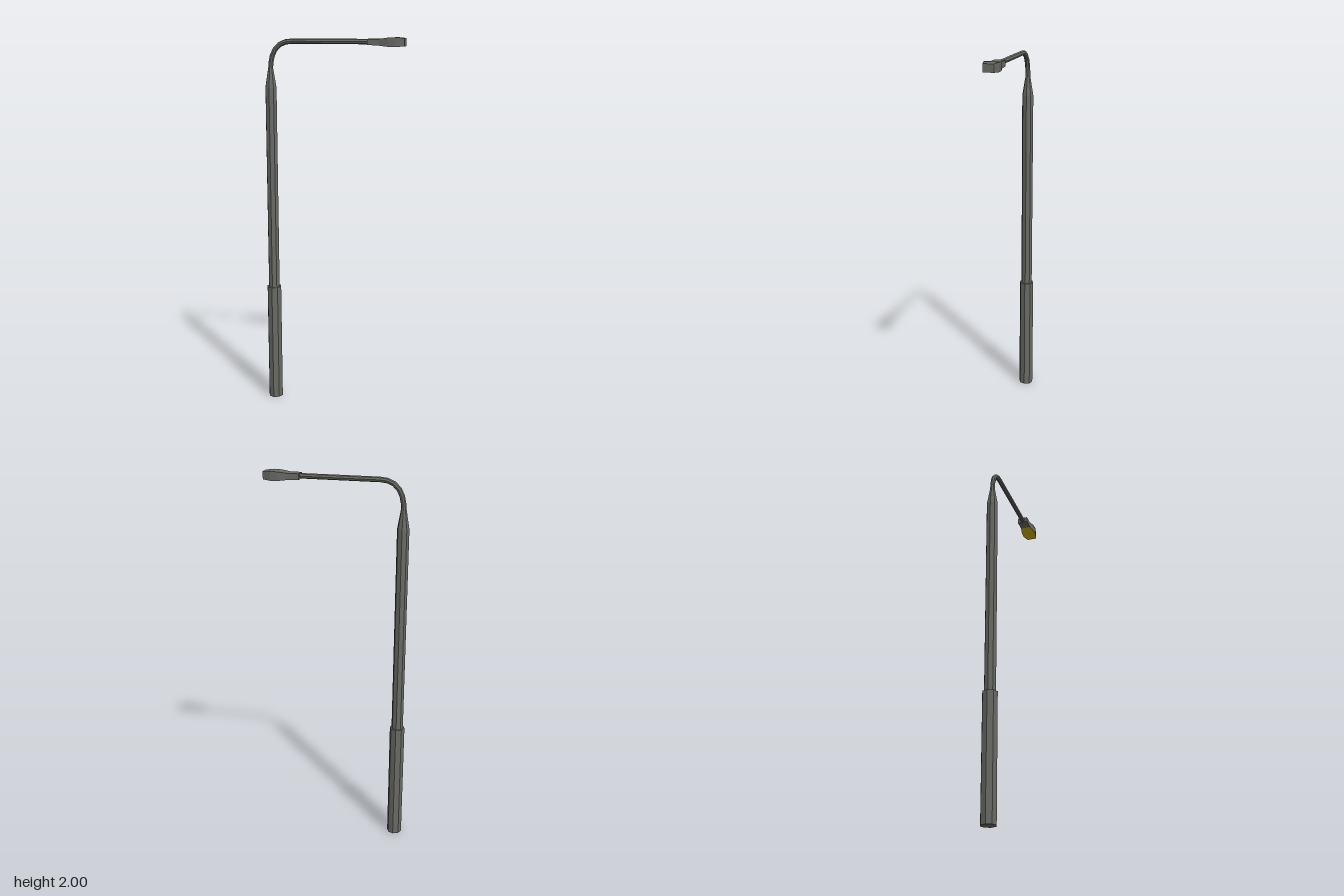
import * as THREE from 'three';

export function createModel() {
  const metal = new THREE.MeshStandardMaterial({ name: 'greyMetal', color: 0x6a6a65, flatShading: true });
  const glow = new THREE.MeshStandardMaterial({ name: 'yellowLamp', color: 0xd0b810, flatShading: true });

  // The arm runs along local +x, then the whole lamp is turned
  const lamp = new THREE.Group();
  lamp.name = 'streetLamp';
  lamp.position.set(-0.293, 0, -0.177);
  lamp.rotation.y = -THREE.MathUtils.degToRad(31);

  const add = (name, geometry, material = metal) => {
    const mesh = new THREE.Mesh(geometry, material);
    mesh.name = name;
    lamp.add(mesh);
  };

  // Octagonal pole: thick base, shaft and tapered neck
  const profile = [[0, 0], [0.04, 0], [0.04, 0.65], [0.031, 0.65], [0.031, 1.74], [0.012, 1.85], [0, 1.85]];
  add('pole', new THREE.LatheGeometry(profile.map(([r, y]) => new THREE.Vector2(r, y)), 8).toNonIndexed());

  // Bent neck and straight arm
  const armY = 1.978;
  const v = (x, y) => new THREE.Vector3(x, y, 0);
  const bend = new THREE.QuadraticBezierCurve3(v(0, 1.83), v(0, armY), v(0.12, armY));
  add('bend', new THREE.TubeGeometry(bend, 6, 0.0135, 8));
  add('arm', new THREE.TubeGeometry(new THREE.LineCurve3(v(0.12, armY), v(0.54, armY)), 1, 0.0135, 8));

  // Lamp head sections: distance along arm, half width, bottom, top
  const sections = [
    [0.525, 0.028, 1.962, 1.992],
    [0.584, 0.028, 1.959, 1.992],
    [0.63, 0.038, 1.954, 1.998],
    [0.67, 0.038, 1.953, 2.0],
    [0.713, 0.0265, 1.956, 1.996],
  ];
  const rings = sections.map(([x, w, lo, hi]) => [[x, lo, -w], [x, lo, w], [x, hi, w], [x, hi, -w]]);
  const body = [], lens = [];
  const quad = (out, a, b, c, d) => out.push(...a, ...b, ...c, ...a, ...c, ...d);
  for (let i = 0; i < rings.length - 1; i++) {
    for (let k = 0; k < 4; k++) {
      const n = (k + 1) % 4;
      // The underside past the first section is the lens
      quad(k === 0 && i > 0 ? lens : body, rings[i][k], rings[i + 1][k], rings[i + 1][n], rings[i][n]);
    }
  }
  const [first, last] = [rings[0], rings[rings.length - 1]];
  quad(body, first[0], first[1], first[2], first[3]);
  quad(body, last[3], last[2], last[1], last[0]);

  const faces = (points) => {
    const g = new THREE.BufferGeometry();
    g.setAttribute('position', new THREE.Float32BufferAttribute(points, 3));
    g.computeVertexNormals();
    return g;
  };
  add('lampHead', faces(body));
  add('lampLens', faces(lens), glow);

  const model = new THREE.Group();
  model.add(lamp);
  return model;
}
